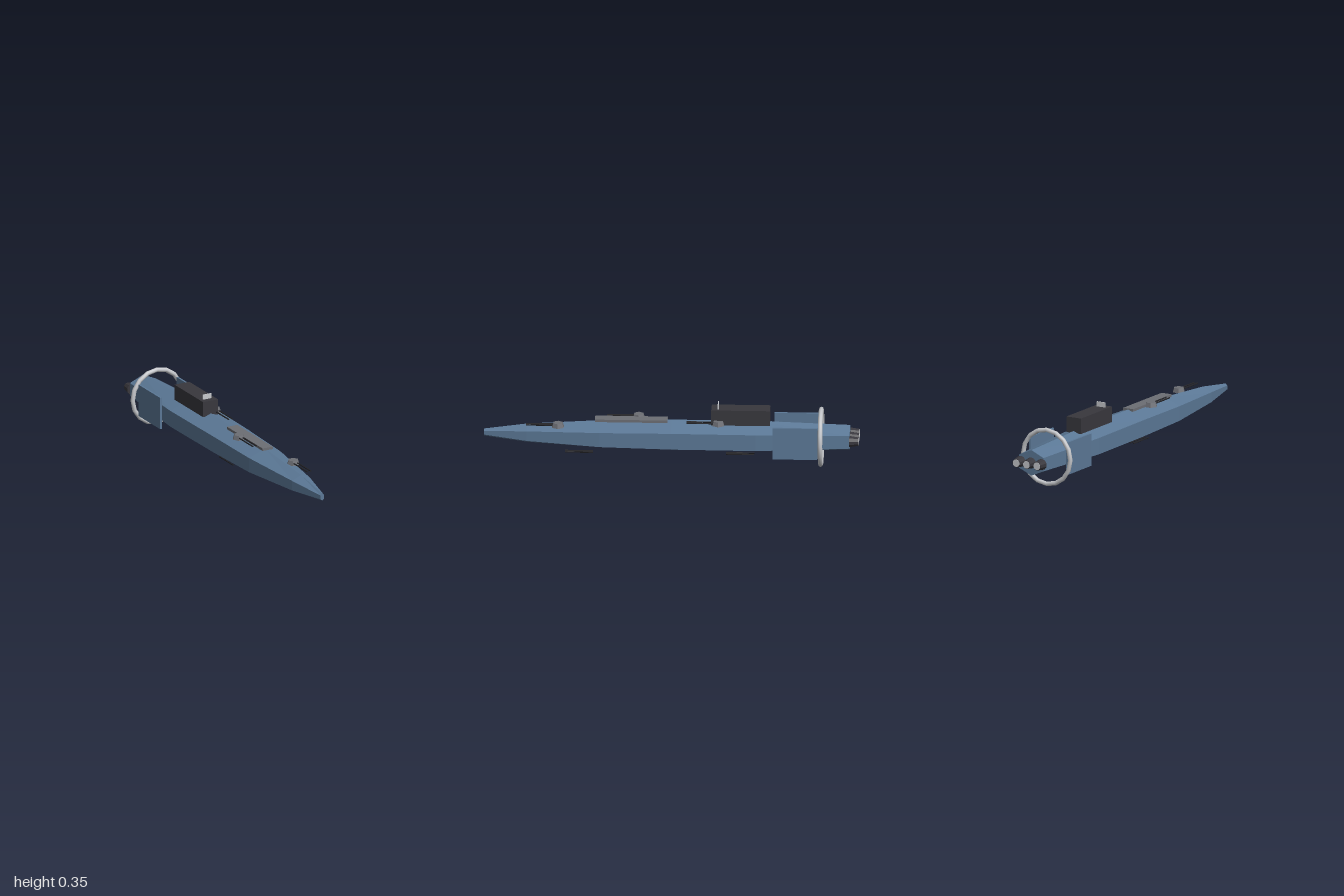
import * as THREE from 'three';

const CY = 0.161; // height of the long axis

const mat = (name, color, flatShading = true) =>
  new THREE.MeshStandardMaterial({ name, color, flatShading });

export function createModel() {
  const root = new THREE.Group();
  root.name = 'spaceship';
  const blue = mat('hull blue', 0x5b7896);
  const dark = mat('dark charcoal', 0x38373d);
  const black = mat('gun black', 0x222226);
  const grey = mat('deck grey', 0x6c6e74);
  const silver = mat('silver', 0xc6c8cc, false);

  const add = (name, geo, material, x, y, z, parent = root) => {
    const m = new THREE.Mesh(geo, material);
    m.name = name;
    m.position.set(x, y, z);
    parent.add(m);
    return m;
  };

  // Hull: hexagonal sections [z, half width, half height] from nose to stern
  const sections = [
    [1, 0.011, 0.02], [0.77, 0.054, 0.052], [0.38, 0.098, 0.077],
    [0, 0.107, 0.086], [-0.45, 0.112, 0.086], [-0.95, 0.077, 0.07],
  ];
  const corners = [[0, 1], [-1, 0.52], [-1, -0.52], [0, -1], [1, -0.52], [1, 0.52]];
  const pos = [], idx = [];
  for (const [z, w, h] of sections)
    for (const [cx, cy] of corners) pos.push(cx * w, cy * h, z);
  const last = (sections.length - 1) * 6;
  for (let s = 0; s < last; s += 6)
    for (let i = 0; i < 6; i++) {
      const j = (i + 1) % 6, a = s + i, b = s + j;
      idx.push(a, a + 6, b, b, a + 6, b + 6);
    }
  for (let i = 1; i < 5; i++) {
    idx.push(0, i, i + 1);
    idx.push(last, last + i + 1, last + i);
  }
  const hull = new THREE.BufferGeometry();
  hull.setAttribute('position', new THREE.Float32BufferAttribute(pos, 3));
  hull.setIndex(idx);
  const hullFlat = hull.toNonIndexed();
  hullFlat.computeVertexNormals();
  add('hull', hullFlat, blue, 0, CY, 0);

  // Side fins
  for (const side of [1, -1])
    add('sideFin', new THREE.BoxGeometry(0.011, 0.177, 0.237), blue, side * 0.117, 0.163, -0.661);

  // Stern ring
  add('sternRing', new THREE.TorusGeometry(0.148, 0.0125, 8, 16), silver, 0, CY, -0.795);

  // Command tower, its sensor panel and the deck plate
  add('tower', new THREE.BoxGeometry(0.091, 0.085, 0.312), dark, 0, 0.2765, -0.368);
  add('sensorPanel', new THREE.BoxGeometry(0.052, 0.028, 0.006), silver, 0, 0.332, -0.249);
  add('deckPlate', new THREE.BoxGeometry(0.062, 0.014, 0.386), grey, 0, 0.245, 0.215);

  // Engines with bright exhausts
  const nozzle = new THREE.CylinderGeometry(0.031, 0.023, 0.05, 10).rotateX(Math.PI / 2);
  const exhaust = new THREE.CylinderGeometry(0.021, 0.021, 0.003, 10).rotateX(Math.PI / 2);
  for (const x of [-0.065, 0, 0.065]) {
    add('engine', nozzle, dark, x, CY, -0.973);
    add('exhaust', exhaust, silver, x, CY, -0.9985);
  }

  // Twin guns: deck turrets and the pairs slung below the keel
  const barrel = new THREE.CylinderGeometry(0.004, 0.004, 0.15, 6).rotateX(Math.PI / 2);
  const twinBarrels = (x, y, z) => {
    for (const dx of [-0.0107, 0.0107]) add('gunBarrel', barrel, black, x + dx, y, z);
  };
  const turret = new THREE.CylinderGeometry(0.028, 0.036, 0.024, 6).rotateY(Math.PI / 6);
  for (const [x, y, z] of [[0.046, 0.226, 0.604], [-0.046, 0.249, 0.177], [0.047, 0.249, -0.25]]) {
    add('turret', turret, grey, x, y, z);
    twinBarrels(x, y, z + 0.095);
  }
  for (const [x, z] of [[0.046, 0.492], [-0.046, 0.061], [0.046, -0.366]]) twinBarrels(x, 0.076, z);

  return root;
}
